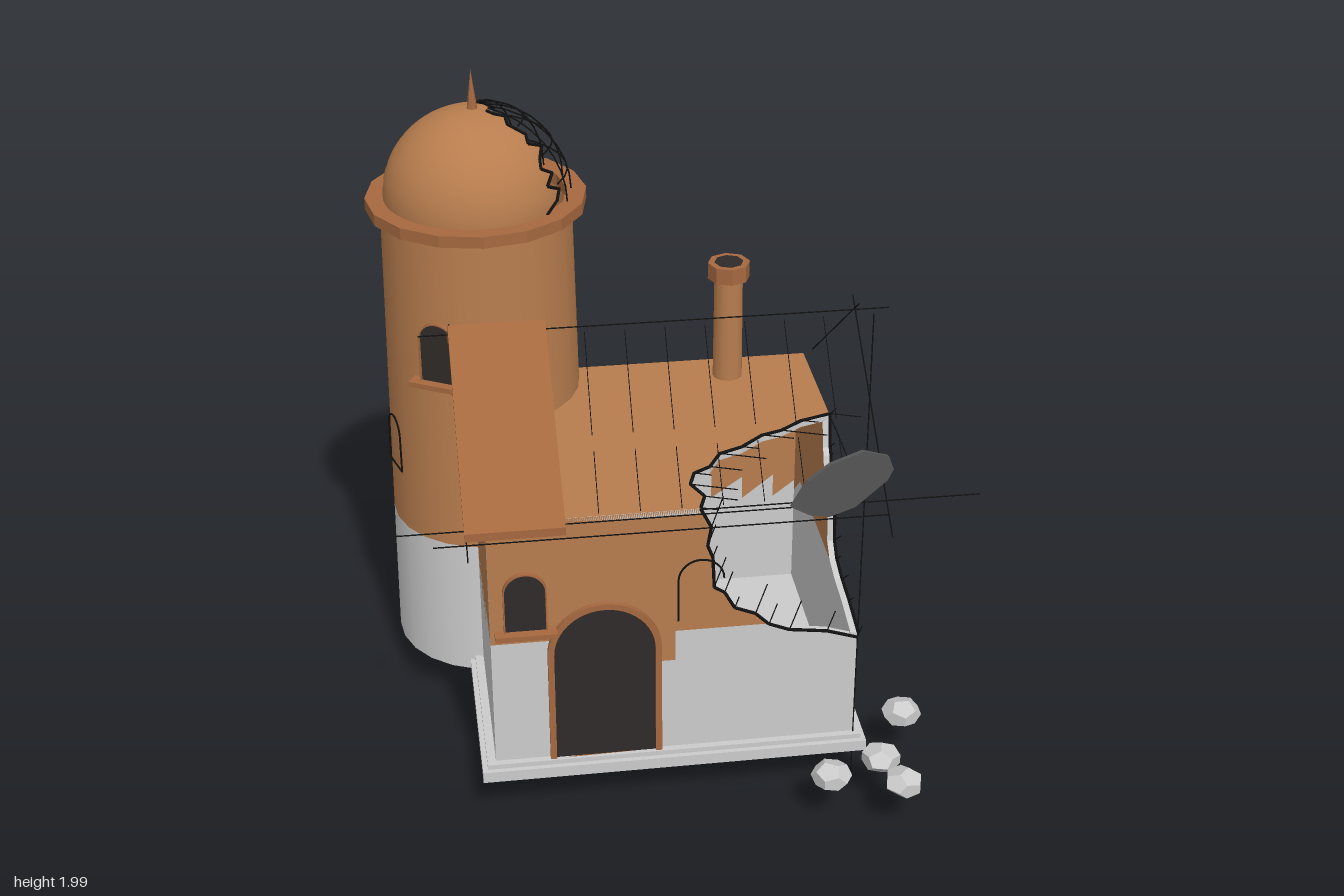
import * as THREE from 'three';
import { ParametricGeometry } from 'three/addons/geometries/ParametricGeometry.js';

const mat = (color, extra = {}) => new THREE.MeshStandardMaterial({ color, ...extra });
const DS = { side: THREE.DoubleSide };
const stone = mat(0xcccccc, DS), clay = mat(0xb87d4e, DS), tile = mat(0xa5683f, { ...DS, flatShading: true });
const dark = mat(0x2f2b29, DS), slate = mat(0x555555, { ...DS, flatShading: true }), ink = mat(0x111111);
const rubble = mat(0xcccccc, { flatShading: true });
const V = (x, y, z) => new THREE.Vector3(x, y, z);
const shapeOf = pts => new THREE.Shape(pts.map(p => new THREE.Vector2(...p)));

export function createModel() {
  const model = new THREE.Group();
  const add = (name, geo, material, x = 0, y = 0, z = 0, parent = model) => {
    const m = new THREE.Mesh(geo, material);
    m.name = name;
    m.position.set(x, y, z);
    parent.add(m);
    return m;
  };
  const group = (name, x = 0, y = 0, z = 0, ry = 0) => {
    const g = new THREE.Group();
    g.name = name;
    g.position.set(x, y, z);
    g.rotation.y = ry;
    model.add(g);
    return g;
  };
  const box = (name, w, h, d, m, x, y, z, parent) => add(name, new THREE.BoxGeometry(w, h, d), m, x, y, z, parent);
  const extrude = (shape, depth) => new THREE.ExtrudeGeometry(shape, { depth, bevelEnabled: false, curveSegments: 12 });

  // thin ink lines
  const rod = (parent, a, b, r = 0.002) => {
    const m = add('inkLine', new THREE.CylinderGeometry(r, r, a.distanceTo(b), 5), ink, 0, 0, 0, parent);
    m.position.copy(a).add(b).multiplyScalar(0.5);
    m.quaternion.setFromUnitVectors(V(0, 1, 0), b.clone().sub(a).normalize());
  };
  const path = (parent, pts, r) => pts.slice(1).forEach((p, i) => rod(parent, pts[i], p, r));

  // plinth
  box('plinth', 1.13, 0.035, 0.955, stone, -0.04, 0.1625, -0.0125);
  box('plinthTop', 1.10, 0.015, 0.925, stone, -0.04, 0.1875, -0.0125);

  // broken corner outlines: front (x,y), right side (-z,y), deck (x,-z)
  const frontLow = [[0.49, 0.53], [0.4, 0.56], [0.29, 0.575], [0.23, 0.6]];
  const frontHigh = [[0.23, 0.6], [0.19, 0.64], [0.13, 0.665], [0.1, 0.72], [0.07, 0.74], [0.065, 0.84], [0.05, 0.88], [0.06, 0.94], [0.03, 1]];
  const sideLow = [[-0.43, 0.545], [-0.3, 0.57], [-0.2, 0.58], [-0.12, 0.6]];
  const sideHigh = [[-0.12, 0.6], [-0.08, 0.64], [-0.07, 0.72], [-0.05, 0.79], [0, 0.82], [0.015, 0.88], [0.03, 0.9], [0.05, 1]];
  const deckCut = [[0.03, -0.43], [0.05, -0.37], [0.02, -0.3], [0.04, -0.24], [0.09, -0.21], [0.13, -0.14], [0.2, -0.11],
    [0.27, -0.05], [0.33, -0.03], [0.4, 0.02], [0.49, 0.05]];

  // walls: stone below and plaster above a stepped line
  const wall = (name, x, z, ry, low, high) => {
    const g = group(name, x, 0, z, ry);
    add('stoneCourse', extrude(shapeOf(low), 0.02), stone, 0, 0, 0, g);
    add('plaster', extrude(shapeOf(high), 0.02), [clay, stone], 0, 0, 0, g);
  };
  const notch = [[-0.12, 0.6], [-0.12, 0.5], [-0.04, 0.5], [-0.04, 0.6]];
  wall('frontWall', 0, 0.41, 0,
    [[-0.565, 0.19], [0.49, 0.19], ...frontLow, ...[...notch].reverse(), [-0.565, 0.6]],
    [[-0.565, 0.6], ...notch, ...frontHigh, [-0.565, 1]]);
  wall('rightWall', 0.47, 0, Math.PI / 2,
    [[0.45, 0.19], [-0.43, 0.19], ...sideLow, [0.34, 0.6], [0.45, 0.5]],
    [[0.45, 1], [0.45, 0.5], [0.34, 0.6], ...sideHigh]);
  const backTeeth = [[-0.49, 0.57], [-0.4, 0.5], [-0.4, 0.58], [-0.3, 0.5], [-0.3, 0.58], [-0.2, 0.51], [-0.2, 0.6], [0.235, 0.6]];
  const leftTeeth = [[-0.125, 0.6], [-0.02, 0.51], [-0.02, 0.6], [0.09, 0.5], [0.09, 0.6], [0.2, 0.51], [0.2, 0.6], [0.43, 0.6]];
  const teethWall = (name, x, z, ry, teeth) => {
    const a = teeth[0][0], b = teeth.at(-1)[0];
    wall(name, x, z, ry, [[b, 0.19], [a, 0.19], ...teeth], [[b, 1], [a, 1], ...teeth]);
  };
  teethWall('backWall', 0, -0.43, Math.PI, backTeeth);
  teethWall('leftWall', -0.545, 0, -Math.PI / 2, leftTeeth);

  // flat deck, cut around the tower and at the broken corner
  const arc = [];
  for (let i = 0; i <= 12; i++) {
    const a = THREE.MathUtils.degToRad(10.3 - i * 111.7 / 12);
    arc.push([-0.51 + 0.28 * Math.cos(a), 0.4 + 0.28 * Math.sin(a)]);
  }
  const deck = add('deck', extrude(shapeOf([[-0.565, -0.43], ...deckCut, [0.49, 0.45], ...arc]), 0.02), [clay, stone], 0, 0.981, 0);
  deck.rotation.x = -Math.PI / 2;

  // ink along the break, with short cracks running outward
  const cracks = group('cracks');
  const crackLine = (pts, map, dx, dy) => {
    path(cracks, pts.map(map), 0.005);
    pts.forEach(([u, v], i) => {
      const k = 0.6 + 0.5 * (i % 3);
      rod(cracks, map([u, v]), map([u + dx * k, v + dy * k]), 0.0018);
    });
  };
  const onFront = ([x, y]) => V(x, y, 0.432), onSide = ([u, y]) => V(0.492, y, -u), onDeck = ([x, v]) => V(x, 1.003, -v);
  crackLine([...frontLow, ...frontHigh], onFront, 0.02, 0.06);
  crackLine([...sideLow, ...sideHigh], onSide, -0.05, 0.04);
  crackLine(deckCut, onDeck, 0.08, -0.03);

  // arched openings
  const arch = (w, h, Type = THREE.Shape) => {
    const s = new Type(), r = w / 2;
    s.moveTo(-r, 0);
    s.lineTo(r, 0);
    s.lineTo(r, h - r);
    s.absarc(0, h - r, r, 0, Math.PI, false);
    s.closePath();
    return s;
  };
  const archLine = (g, w, h) => path(g, arch(w, h).getPoints(8).slice(1), 0.003);
  const opening = (name, w, h, x, y, z, ry, frame) => {
    const g = group(name, x, y, z, ry);
    add('pane', extrude(arch(w, h), 0.012), dark, 0, 0, 0, g);
    const rim = arch(w + frame * 2, h + frame);
    rim.holes.push(arch(w, h, THREE.Path));
    add('frame', extrude(rim, 0.02), tile, 0, 0, 0, g);
    return g;
  };
  opening('frontDoor', 0.29, 0.505, -0.243, 0.195, 0.425, 0, 0.018);
  const sill = g => box('sill', 0.175, 0.016, 0.05, tile, 0, -0.005, 0.015, g);
  sill(opening('frontWindow', 0.115, 0.19, -0.465, 0.642, 0.425, 0, 0.004));
  const turn = -0.51;
  sill(opening('towerWindow', 0.11, 0.19, -0.51 + 0.28 * Math.sin(turn), 1.138, -0.4 + 0.28 * Math.cos(turn), turn, 0.004));
  const sketch = (x, y, z, ry, w, h) => archLine(group('sketchedWindow', x, y, z, ry),
    w, h);
  const archPoints = arch(0.13, 0.2).getPoints(8);
  path(group('sketchedFrontWindow', 0.033, 0.635, 0.433), archPoints.slice(2).map(p => V(p.x, p.y, 0)), 0.003);
  path(group('sketchedTowerWindow', -0.51 - 0.295 * 0.956, 0.78, -0.4 + 0.295 * 0.292, -1.27),
    arch(0.1, 0.17).getPoints(8).map(p => V(p.x, p.y, 0)), 0.003);

  // tower, open at top and bottom
  const tower = group('tower', -0.51, 0, -0.4);
  const drum = (name, r1, r0, y0, y1, m) =>
    add(name, new THREE.CylinderGeometry(r1, r0, y1 - y0, 24, 1, true), m, 0, (y0 + y1) / 2, 0, tower);
  drum('towerStone', 0.297, 0.303, 0.145, 0.59, stone);
  drum('towerPlaster', 0.28, 0.297, 0.59, 1.6, clay);
  const ring = add('towerCornice', extrude((() => {
    const circle = (r, T) => new T().setFromPoints(Array.from({ length: 17 }, (_, i) =>
      new THREE.Vector2(r * Math.cos(i * Math.PI / 8), r * Math.sin(i * Math.PI / 8))));
    const s = circle(0.323, THREE.Shape);
    s.holes.push(circle(0.265, THREE.Path));
    return s;
  })(), 0.035), tile, 0, 1.59, 0, tower);
  ring.rotation.x = -Math.PI / 2;

  // dome with a jagged gap; azimuth runs from +x towards +z
  const domePoint = (polar, az, r = 0.27) =>
    V(r * Math.sin(polar) * Math.cos(az), 1.625 + (r - 0.01) * Math.cos(polar), r * Math.sin(polar) * Math.sin(az));
  const jag = i => 0.12 * Math.sin(i * 2.4) + 0.06 * Math.sin(i * 5.1);
  const N = 14, P0 = 0.17;
  const gapEdge = t => {
    const i = t * N;
    return [0.55 + 0.1 * t + jag(i), 2 * Math.PI - 1.25 + 0.7 * jag(i + 3)];
  };
  const polarAt = t => P0 + t * (Math.PI / 2 - P0);
  const shell = r => new ParametricGeometry((u, t, out) => {
    const [a, b] = gapEdge(t);
    out.copy(domePoint(polarAt(t), b + (a - b) * u, r));
  }, 28, N);
  const cap = r => new ParametricGeometry((u, t, out) => out.copy(domePoint(0.001 + t * P0, -u * 2 * Math.PI, r)), 24, 2);
  [shell, cap].forEach(make => {
    add('dome', make(0.27), clay, 0, 0, 0, tower);
    add('domeLining', make(0.263), stone, 0, 0, 0, tower);
  });
  [0, 1].forEach(side => path(tower, Array.from({ length: N + 1 }, (_, i) =>
    domePoint(polarAt(i / N), gapEdge(i / N)[side], 0.272)), 0.005));
  for (let k = 0; k < 5; k++)
    path(tower, Array.from({ length: 9 }, (_, i) => domePoint(P0 + i * 0.175, -1.05 + k * 0.36, 0.278)), 0.0025);
  [0.55, 0.95, 1.3].forEach(p => path(tower, Array.from({ length: 9 }, (_, i) =>
    domePoint(p, -1.2 + i * 0.22, 0.278)), 0.0025));
  add('finial', new THREE.ConeGeometry(0.017, 0.13, 8), tile, 0, 1.935, 0, tower);

  // remaining strip of pitched roof
  const roof = add('roof', extrude(shapeOf([[-0.5, 0.99], [-0.5, 1.015], [0.01, 1.392], [0.53, 1.015], [0.53, 0.99], [0.01, 1.362]]), 0.275),
    tile, -0.625, 0, 0);
  roof.rotation.y = Math.PI / 2;

  // outline of the lost roof and corner
  const guides = group('guideLines');
  const ridge = -0.015;
  [[V(-0.71, 1.36, ridge), V(0.645, 1.36, ridge)], [V(0.545, 1.4, 0.03), V(0.545, 0.95, -0.57)],
    [V(0.545, 1.39, -0.05), V(0.545, 0.95, 0.545)], [V(-0.71, 0.98, 0.5), V(0.55, 0.98, 0.5)],
    [V(0.545, 0.94, 0.5), V(0.545, 1.36, 0.5)].map(p => V(p.x, p.y, 0.5 - (p.y - 0.98) * 1.35)),
    [V(-0.62, 0.95, 0.54), V(-0.62, 1.38, -0.04)], [V(0.49, 0.01, 0.434), V(0.49, 1.57, 0.434)],
    [V(-0.81, 0.985, 0.434), V(0.82, 0.985, 0.434)], [V(0.03, 1, 0.434), V(0.49, 1, 0.434)],
    [V(0.49, 1, 0.434), V(0.49, 1, -0.05)]].forEach(([a, b]) => rod(guides, a, b));
  for (let i = 0; i < 7; i++) {
    const x = -0.24 + i * 0.115;
    rod(guides, V(x, 1.35, 0), V(x - 0.01, 1.16, 0.26), 0.0012);
    rod(guides, V(x - 0.01, 1.13, 0.3), V(x - 0.015, 1.02, 0.45), 0.0012);
  }

  // chimney
  const chimney = group('chimney', 0.225, 0, -0.308);
  add('flue', new THREE.CylinderGeometry(0.043, 0.045, 0.34, 12), clay, 0, 1.19, 0, chimney);
  add('chimneyCap', new THREE.CylinderGeometry(0.063, 0.063, 0.05, 8), tile, 0, 1.372, 0, chimney);
  add('flueOpening', new THREE.CylinderGeometry(0.043, 0.043, 0.004, 8), dark, 0, 1.397, 0, chimney);

  // loose slab in the air and fallen stones
  const shard = [[-0.158, 1.08], [-0.11, 1.15], [-0.04, 1.185], [0.06, 1.2], [0.14, 1.165], [0.157, 1.12], [0.14, 1.09], [0.04, 1.03], [-0.04, 1.02], [-0.1, 1.04]];
  add('looseSlab', extrude(shapeOf(shard), 0.012), slate, 0.4, 0, 0.53).rotation.y = 0.31;
  [[0.66, 0.34], [0.55, 0.55], [0.39, 0.61], [0.59, 0.67]].forEach(([x, z], i) => {
    const s = add('fallenStone', new THREE.DodecahedronGeometry(0.06, 0), rubble, x, 0.18, z);
    s.scale.y = 0.66;
    s.rotation.y = i * 1.3;
  });
  return model;
}
